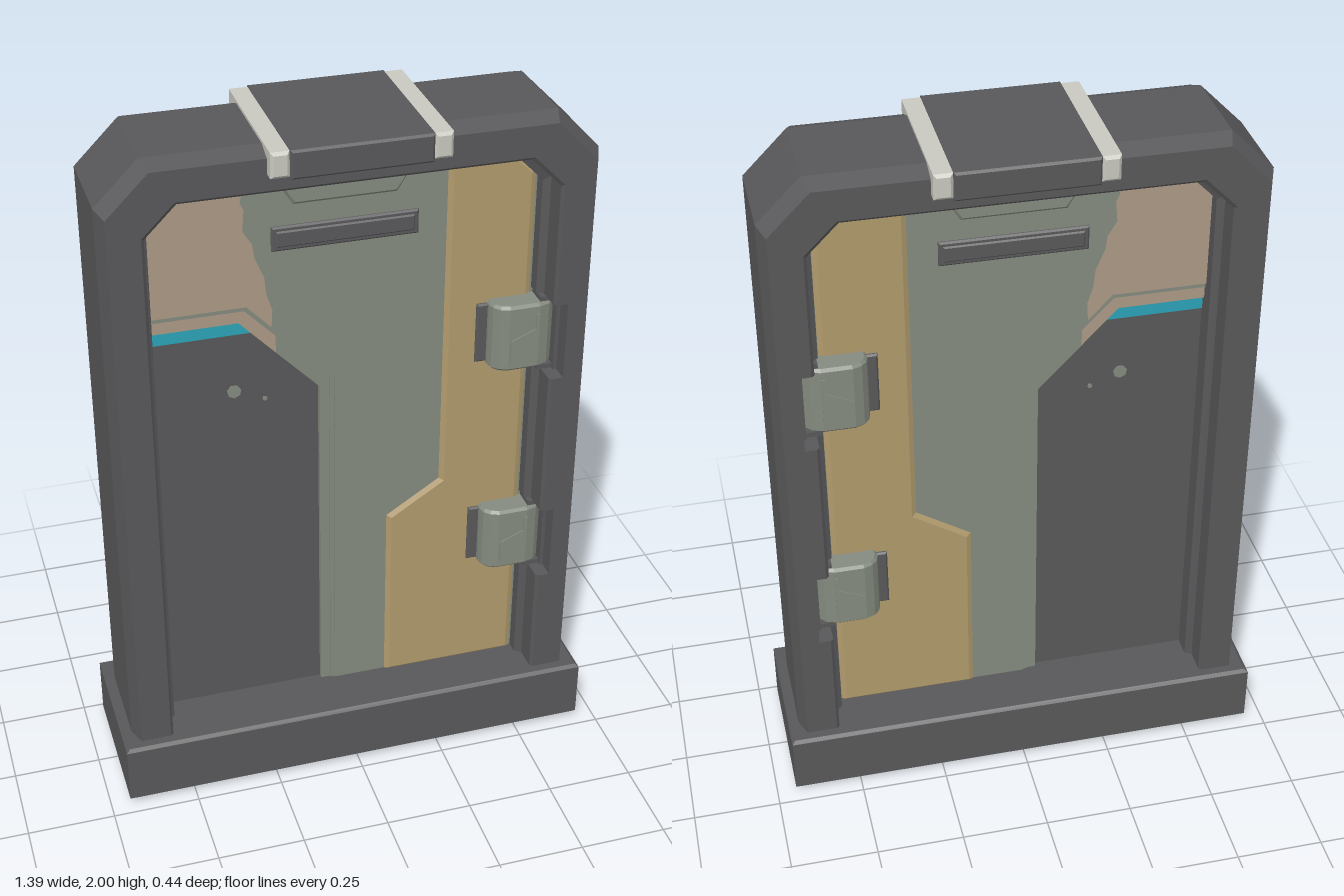
import * as THREE from 'three';

const mat = (name, color) => Object.assign(new THREE.MeshStandardMaterial({ color }), { name });

export function createModel() {
  const dark = mat('dark metal', 0x58585a);
  const grey = mat('sage grey', 0x848a7f);
  const tan = mat('ochre', 0xb09a6c);
  const peach = mat('worn peach', 0xac9984);
  const teal = mat('teal', 0x2ba3b8);
  const pale = mat('pale trim', 0xc8c8bf);

  const model = new THREE.Group();
  model.name = 'doorway';
  const add = (name, geo, material, parent = model) => {
    const mesh = new THREE.Mesh(geo, material);
    mesh.name = name;
    parent.add(mesh);
    return mesh;
  };
  const shapeOf = (pts) => new THREE.Shape(pts.map(([x, y]) => new THREE.Vector2(x, y)));

  // Slab with outline pts in xy, reaching from z = -h to z = h, with optional bevelled rim
  const slab = (pts, h, bevel = 0, rise = bevel) => {
    const geo = new THREE.ExtrudeGeometry(shapeOf(pts), {
      depth: 2 * (h - rise), bevelEnabled: bevel > 0, bevelSegments: 1,
      bevelSize: bevel, bevelThickness: rise, bevelOffset: -bevel,
    });
    return geo.translate(0, 0, rise - h);
  };
  const rect = (x0, x1, y0, y1) => [[x0, y0], [x1, y0], [x1, y1], [x0, y1]];

  // Closed loops joined into a faceted solid with end caps
  const loft = (loops, flat) => {
    const pos = [];
    const n = flat.length;
    const tri = (...v) => v.forEach((p) => pos.push(...p));
    for (let i = 0; i + 1 < loops.length; i++) {
      for (let j = 0; j < n; j++) {
        const k = (j + 1) % n;
        const [a, b, c, d] = [loops[i][j], loops[i][k], loops[i + 1][k], loops[i + 1][j]];
        tri(a, b, c);
        tri(a, c, d);
      }
    }
    const last = loops[loops.length - 1];
    const caps = THREE.ShapeUtils.triangulateShape(flat.map(([x, y]) => new THREE.Vector2(x, y)), []);
    for (const face of caps) {
      const [a, b, c] = [...face].sort((p, q) => p - q);
      tri(loops[0][a], loops[0][c], loops[0][b]);
      tri(last[a], last[b], last[c]);
    }
    const geo = new THREE.BufferGeometry();
    geo.setAttribute('position', new THREE.Float32BufferAttribute(pos, 3));
    geo.computeVertexNormals();
    return geo;
  };

  // Frame: section (inset, z) swept along the arch; the right leg is notched for the hinges
  const section = [
    [0, -0.13], [0, 0.13], [0.02, 0.18], [0.107, 0.18], [0.115, 0.172], [0.115, 0.105],
    [0.135, 0.095], [0.135, -0.095], [0.115, -0.105], [0.115, -0.172], [0.107, -0.18], [0.02, -0.18],
  ];
  const notched = [[0, -0.13], [0, 0.13], [0.02, 0.18], [0.075, 0.18], [0.075, -0.18], [0.02, -0.18]];
  const leg = (side, y) => (t) => [side * (0.665 - t), y];
  const shoulder = (side) => (t) => [side * (0.665 - t), 1.87 - 0.7 * t];
  const top = (side) => (t) => [side * (0.545 - 0.7 * t), 1.99 - t];
  const sweep = (stations, prof) =>
    loft(stations.map((s) => prof.map(([t, z]) => [...s(t), z])), prof);

  const frame = new THREE.Group();
  frame.name = 'frame';
  model.add(frame);
  add('arch', sweep([leg(-1, 0.19), shoulder(-1), top(-1), top(1), shoulder(1), leg(1, 1.44)], section), dark, frame);
  const cuts = [1.44, 1.21, 0.77, 0.54, 0.19];
  for (let i = 0; i < 4; i++) {
    const stations = [leg(1, cuts[i]), leg(1, cuts[i + 1])];
    add('rightLegSection', sweep(stations, i % 2 ? section : notched), dark, frame);
  }

  // Base plinth, chamfered at bottom and top
  const unit = [[-1, 1], [1, 1], [1, -1], [-1, -1]];
  const rings = [[0, 0.672, 0.192], [0.022, 0.695, 0.215], [0.192, 0.695, 0.215], [0.2, 0.685, 0.205]];
  const baseLoops = rings.map(([y, x, z]) => unit.map(([sx, sz]) => [sx * x, y, sz * z]));
  add('base', loft(baseLoops, unit), dark);

  // Top cap with two pale clamps
  add('topCap', slab(rect(-0.186, 0.186, 1.922, 2), 0.22, 0.006), dark);
  for (const s of [-1, 1]) {
    const strap = slab(rect(-0.025, 0.025, 1.928, 1.998), 0.217, 0.008);
    add('topClamp', strap.translate(s * 0.211, 0, 0), pale);
  }

  // Door: every layer goes right through, so both faces match
  const door = new THREE.Group();
  door.name = 'door';
  model.add(door);
  add('centrePanel', slab([
    [-0.54, 1.5], [-0.27, 1.5], [-0.03, 1.25], [-0.03, 0.19], [0.54, 0.19],
    [0.54, 1.78], [0.46, 1.86], [-0.46, 1.86], [-0.54, 1.78],
  ], 0.058), grey, door);
  add('lowerPanel', slab([
    [-0.54, 0.19], [-0.05, 0.19], [-0.05, 1.23], [-0.28, 1.47], [-0.54, 1.47],
  ], 0.036), dark, door);
  add('peachPanel', slab([
    [-0.54, 1.5], [-0.27, 1.5], [-0.203, 1.43], [-0.2, 1.48], [-0.215, 1.53], [-0.22, 1.58],
    [-0.245, 1.64], [-0.25, 1.68], [-0.275, 1.72], [-0.27, 1.78], [-0.28, 1.8], [-0.268, 1.86],
    [-0.46, 1.86], [-0.54, 1.78],
  ], 0.06), peach, door);

  // Stepped border around the lower panel
  add('upperBorder', slab([
    [-0.54, 1.45], [-0.29, 1.45], [-0.19, 1.345], [-0.19, 1.417], [-0.27, 1.5], [-0.54, 1.5],
  ], 0.05), peach, door);
  add('sideBorder', slab([
    [-0.19, 1.345], [-0.07, 1.22], [-0.07, 0.19], [-0.03, 0.19], [-0.03, 1.25], [-0.19, 1.417],
  ], 0.05), grey, door);
  add('borderRidge', slab([
    [-0.54, 1.486], [-0.275, 1.486], [-0.042, 1.244], [-0.042, 0.19],
    [-0.03, 0.19], [-0.03, 1.25], [-0.27, 1.5], [-0.54, 1.5],
  ], 0.054), grey, door);

  // Ochre panel with a bevelled rim
  add('ochrePanel', slab([
    [0.125, 0.19], [0.525, 0.19], [0.525, 1.79], [0.465, 1.85], [0.28, 1.85], [0.28, 0.86], [0.125, 0.76],
  ], 0.066, 0.014, 0.008), tan, door);

  // Painted stripe, paint chips, top tab and slot
  add('tealStripe', slab([[-0.54, 1.41], [-0.252, 1.41], [-0.29, 1.45], [-0.54, 1.45]], 0.039), teal, door);
  for (const [x, y, r] of [[-0.305, 1.235, 0.02], [-0.22, 1.2, 0.007]]) {
    const chip = new THREE.CylinderGeometry(r, r, 0.078, 7).rotateX(Math.PI / 2).toNonIndexed();
    add('paintChip', chip.translate(x, y, 0), grey, door);
  }
  add('topTab', slab([[-0.14, 1.78], [0.14, 1.78], [0.19, 1.86], [-0.19, 1.86]], 0.068, 0.008), grey, door);
  add('slotRim', slab(rect(-0.2, 0.2, 1.652, 1.722), 0.066, 0.005), dark, door);
  add('slotBar', slab(rect(-0.188, 0.188, 1.664, 1.71), 0.07, 0.004), dark, door);

  // Hinges wrapping both faces of the door, seated in the frame notches
  const curve = [[0.4, 0.085], [0.405, 0.105], [0.42, 0.122], [0.445, 0.132], [0.53, 0.132], [0.56, 0.122], [0.58, 0.1]];
  const outline = [...curve, ...curve.map(([x, z]) => [x, -z]).reverse()];
  for (const y of [1.325, 0.655]) {
    const hinge = new THREE.Group();
    hinge.name = 'hinge';
    hinge.position.y = y;
    model.add(hinge);
    add('hingeBody', slab(outline, 0.1, 0.008).rotateX(-Math.PI / 2), grey, hinge);
    add('hingeTab', slab(rect(0.37, 0.41, -0.09, 0.09), 0.075, 0.005), dark, hinge);
    add('hingeFace', slab([
      [0.45, -0.07], [0.53, -0.07], [0.53, 0.07], [0.52, 0.07], [0.52, 0.025], [0.45, -0.005],
    ], 0.136), grey, hinge);
    add('hingeSeat', new THREE.BoxGeometry(0.012, 0.23, 0.26).translate(0.585, 0, 0), dark, hinge);
    for (const s of [-1, 1]) {
      add('hingeFlange', new THREE.BoxGeometry(0.055, 0.014, 0.24).translate(0.562, s * 0.107, 0), dark, hinge);
    }
  }
  return model;
}
